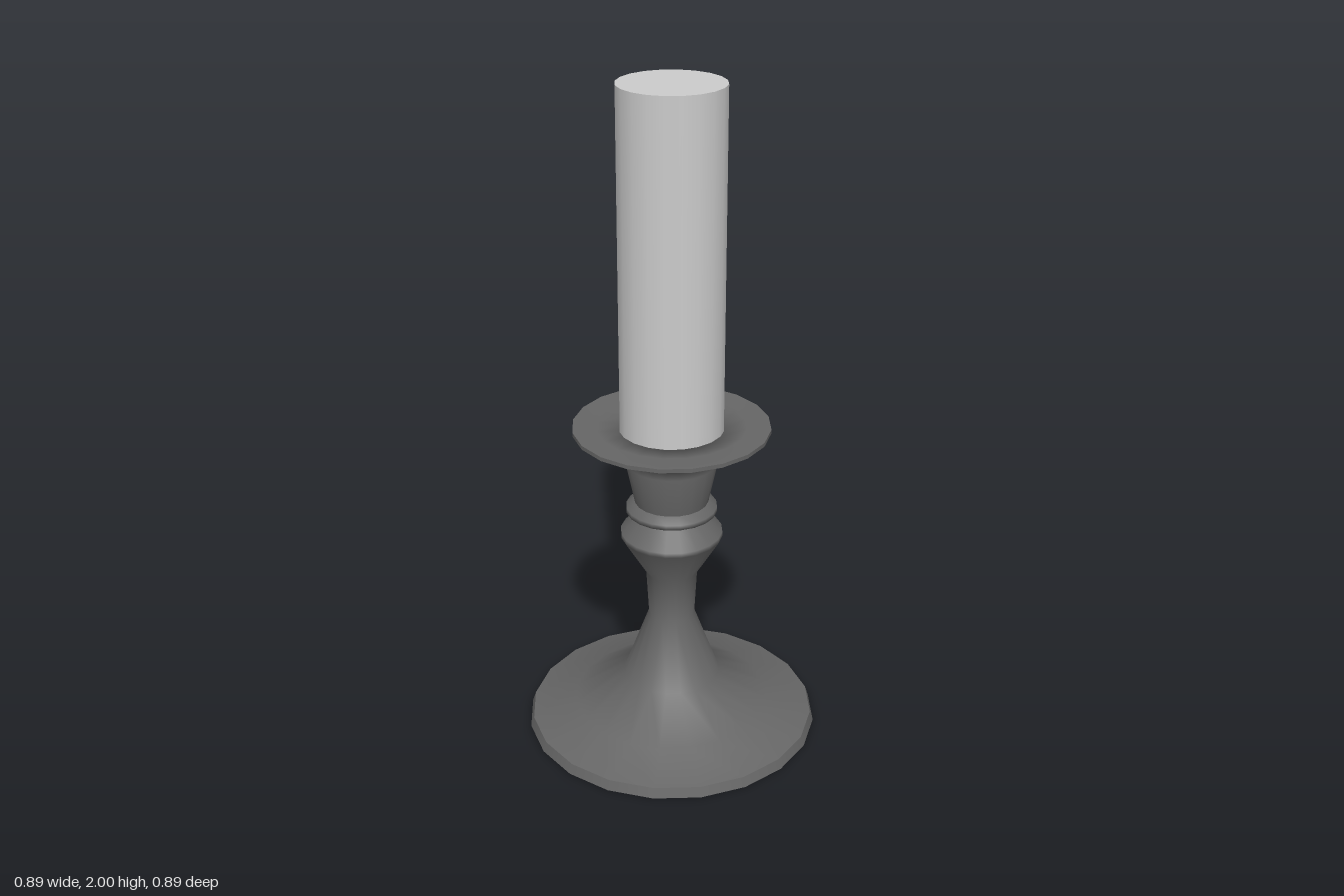
import * as THREE from 'three';

const SIDES = 20;

export function createModel() {
  const group = new THREE.Group();
  const metal = new THREE.MeshStandardMaterial({ color: 0x666666 });
  const wax = new THREE.MeshStandardMaterial({ color: 0xcccccc });

  // Turned part: profile of [radius, height], smooth along its length
  const turn = (name, profile) => {
    const points = profile.map(([r, y]) => new THREE.Vector2(r, y));
    const mesh = new THREE.Mesh(new THREE.LatheGeometry(points, SIDES), metal);
    mesh.name = name;
    group.add(mesh);
  };

  // Foot: flat underside and thin edge
  turn('footUnderside', [[0, 0], [0.447, 0]]);
  turn('footEdge', [[0.447, 0], [0.437, 0.03]]);

  // Flared foot rising into the waisted stem and its knob
  turn('stem', [
    [0.437, 0.03], [0.3, 0.07], [0.147, 0.16], [0.07, 0.37],
    [0.078, 0.515], [0.153, 0.64], [0.153, 0.655], [0.1, 0.71],
  ]);

  // Thin ring between knob and cup
  turn('collarRing', [[0.1, 0.71], [0.136, 0.723], [0.136, 0.738], [0.11, 0.755]]);

  // Cup and the underside of the drip pan
  turn('cup', [
    [0.11, 0.755], [0.137, 0.885], [0.12, 0.907], [0.2, 0.947], [0.291, 0.988],
  ]);

  // Drip pan: rim, then the top turning down into the candle socket
  turn('dripPanRim', [[0.291, 0.988], [0.291, 1]]);
  turn('dripPanTop', [[0.291, 1], [0.22, 0.998], [0.156, 0.994], [0.15, 0.92]]);

  // Candle standing in the socket
  const candle = new THREE.Mesh(new THREE.CylinderGeometry(0.153, 0.153, 1.07, SIDES), wax);
  candle.name = 'candle';
  candle.position.y = 2 - 1.07 / 2;
  group.add(candle);

  return group;
}
